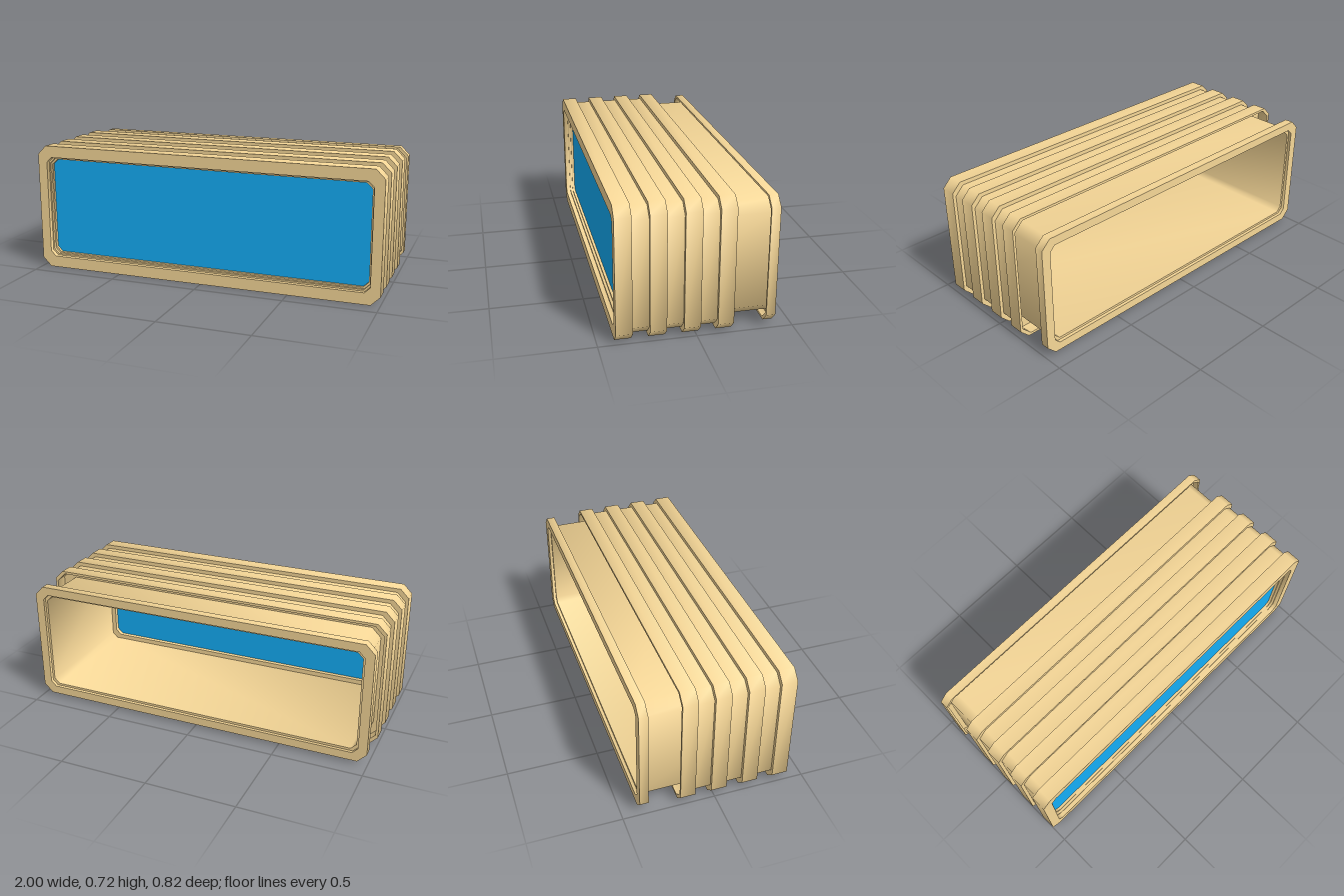
import * as THREE from 'three';
import { toCreasedNormals } from 'three/addons/utils/BufferGeometryUtils.js';

const HALF_W = 1, HALF_H = 0.36, CHAMFER = 0.05, INNER = 0.03;

// Corners of a chamfered rectangle, inset from the largest outline.
function outline(insetX, insetY, c = CHAMFER) {
  const w = HALF_W - insetX, h = HALF_H - insetY;
  return [
    [w, -h + c], [w, h - c], [w - c, h], [-w + c, h],
    [-w, h - c], [-w, -h + c], [-w + c, -h], [w - c, -h],
  ];
}

// Skin a closed loop of sections [z, insetX, insetY, chamfer]: outer side runs backwards, inner side forwards.
function loft(sections) {
  const rings = sections.map(([z, ix, iy, c]) => outline(ix, iy, c).map(([x, y]) => [x, y, z]));
  const pos = [];
  rings.forEach((ring, i) => {
    const next = rings[(i + 1) % rings.length];
    for (let j = 0; j < 8; j++) {
      const k = (j + 1) % 8;
      pos.push(...ring[j], ...next[j], ...next[k], ...ring[j], ...next[k], ...ring[k]);
    }
  });
  const geometry = new THREE.BufferGeometry();
  geometry.setAttribute('position', new THREE.Float32BufferAttribute(pos, 3));
  return toCreasedNormals(geometry, THREE.MathUtils.degToRad(50));
}

export function createModel() {
  const group = new THREE.Group();
  const tan = new THREE.MeshStandardMaterial({ color: 0xf6d797 });
  const blue = new THREE.MeshStandardMaterial({ color: 0x14aef7 });
  const add = (name, geometry, material) => {
    const mesh = new THREE.Mesh(geometry, material);
    mesh.name = name;
    mesh.position.y = HALF_H;
    group.add(mesh);
  };

  // Ribbed sleeve: four raised bands with grooves between
  const bands = [[0.41, 0.325], [0.238, 0.153], [0.065, -0.02], [-0.108, -0.19]];
  const sleeve = [];
  bands.forEach(([front, back], i) => {
    if (i > 0) sleeve.push([front, 0.018, 0.022]);
    sleeve.push([front, 0, 0], [back, 0, 0]);
    if (i < 3) sleeve.push([back, 0.018, 0.022]);
  });
  // Hollow underside of the last band, then the inner wall of the front frame
  sleeve.push(
    [-0.19, 0.014, 0.014], [-0.12, 0.014, 0.014], [-0.12, 0.052, 0.058],
    [0.37, 0.052, 0.058], [0.37, 0.055, 0.065, INNER], [0.41, 0.055, 0.065, INNER],
  );
  add('ribbedSleeve', loft(sleeve), tan);

  // Inner tube with the rear neck, hollow rear rim and a stepped flange around the panel
  add('innerTube', loft([
    [0.385, 0.046, 0.055],
    [-0.395, 0.046, 0.055], [-0.395, 0.017, 0.03],
    [-0.36, 0.017, 0.03], [-0.36, 0.005, 0.018],
    [-0.408, 0.005, 0.018], [-0.408, 0.055, 0.065, INNER],
    [-0.39, 0.055, 0.065, INNER], [-0.39, 0.068, 0.078, INNER],
    [0.31, 0.068, 0.078, INNER], [0.31, 0.095, 0.105, INNER],
    [0.345, 0.095, 0.105, INNER], [0.345, 0.07, 0.082, INNER],
    [0.37, 0.07, 0.082, INNER], [0.37, 0.062, 0.074, INNER],
    [0.385, 0.062, 0.074, INNER],
  ]), tan);

  // Front panel seated against the flange
  const shape = new THREE.Shape(outline(0.07, 0.082, INNER).map(([x, y]) => new THREE.Vector2(x, y)));
  const panel = new THREE.ExtrudeGeometry(shape, { depth: 0.02, bevelEnabled: false });
  panel.translate(0, 0, 0.335);
  add('frontPanel', panel, blue);

  return group;
}
